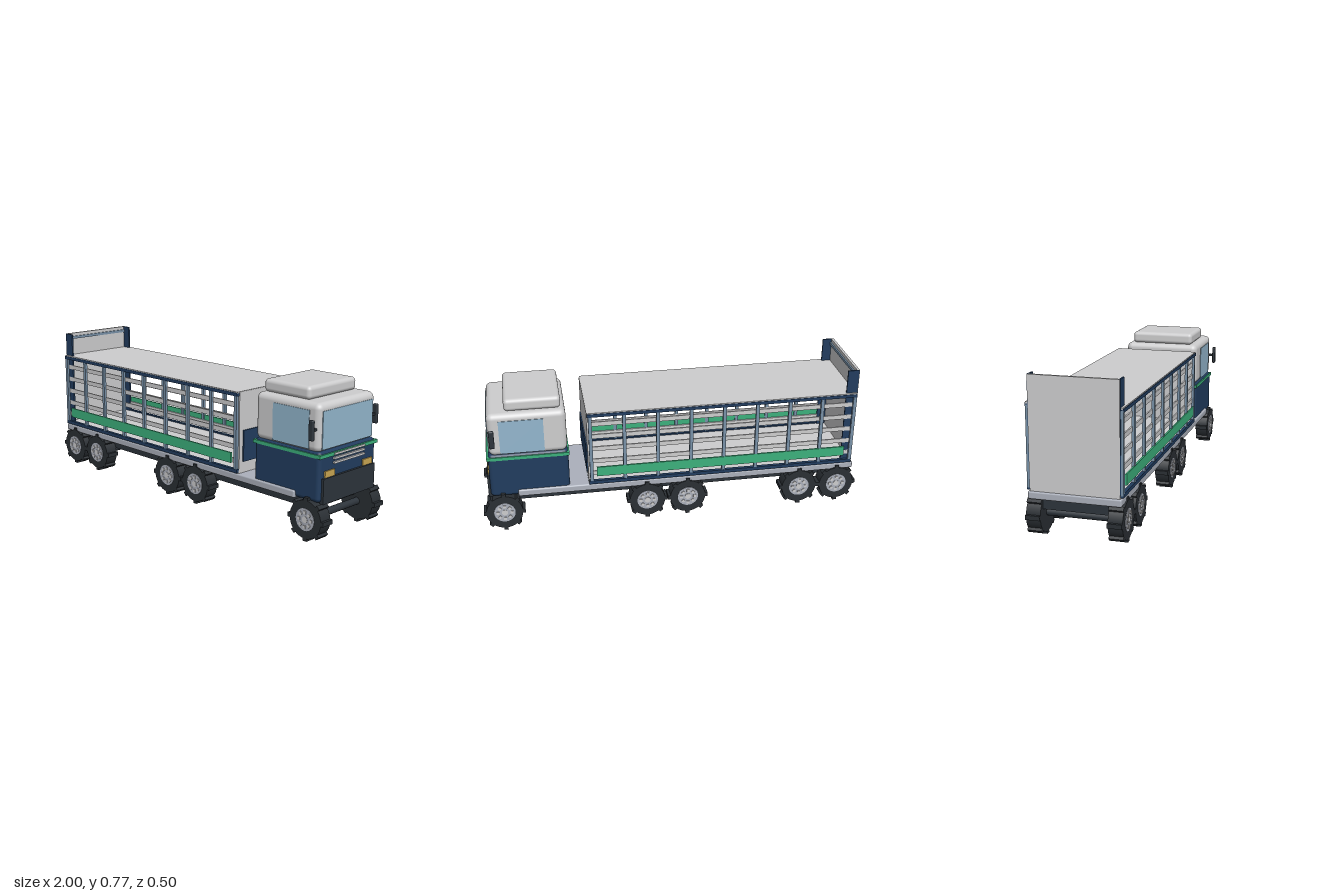
import * as THREE from 'three';
import { RoundedBoxGeometry } from 'three/addons/geometries/RoundedBoxGeometry.js';

const material = (name, color) => {
  const m = new THREE.MeshStandardMaterial({ color });
  m.name = name;
  return m;
};

export function createModel() {
  const white = material('pale grey', 0xcdcdce);
  const steel = material('bluish grey deck', 0xabb0bb);
  const navy = material('navy paint', 0x213c5e);
  const blue = material('steel blue', 0x7891a8);
  const green = material('green paint', 0x3cb07c);
  const glass = material('window glass', 0x93b6cd);
  const gold = material('headlight gold', 0xcaa752);
  const dark = material('dark trim', 0x2d343b);
  const rubber = material('tyre rubber', 0x2a2f34);

  const truck = new THREE.Group();
  truck.name = 'cargoTruck';
  const section = (name, parent = truck) => {
    const g = new THREE.Group();
    g.name = name;
    parent.add(g);
    return g;
  };
  const add = (parent, name, geometry, mat, x = 0, y = 0, z = 0) => {
    const mesh = new THREE.Mesh(geometry, mat);
    mesh.name = name;
    mesh.position.set(x, y, z);
    parent.add(mesh);
    return mesh;
  };
  // Box given by its limits on each axis; r rounds the edges
  const box = (parent, name, mat, [x0, x1], [y0, y1], [z0, z1], r = 0) => {
    const size = [x1 - x0, y1 - y0, z1 - z0];
    const geo = r ? new RoundedBoxGeometry(...size, 4, r) : new THREE.BoxGeometry(...size);
    return add(parent, name, geo, mat, (x0 + x1) / 2, (y0 + y1) / 2, (z0 + z1) / 2);
  };
  // The same box on both flanks of the truck
  const pair = (parent, name, mat, xs, ys, [z0, z1], r = 0) => {
    box(parent, name, mat, xs, ys, [z0, z1], r);
    box(parent, name, mat, xs, ys, [-z1, -z0], r);
  };

  // Chassis and flat deck
  const chassis = section('chassis');
  box(chassis, 'chassisFrame', dark, [-0.95, 0.88], [0.138, 0.19], [-0.16, 0.16]);
  box(chassis, 'deck', steel, [-0.98, 0.815], [0.19, 0.227], [-0.223, 0.223], 0.008);

  // Wheels with tread lugs, hubs and bolts
  const R = 0.094, AXLE_Y = 0.107, W = 0.07;
  const tyreGeo = new THREE.CylinderGeometry(R, R, W, 32).rotateX(Math.PI / 2);
  const lugGeo = new THREE.BoxGeometry(0.022, 0.028, W);
  const hubGeo = new THREE.CylinderGeometry(0.055, 0.055, 0.004, 32).rotateX(Math.PI / 2);
  const capGeo = new THREE.CylinderGeometry(0.016, 0.016, 0.006, 16).rotateX(Math.PI / 2);
  const boltGeo = new THREE.BoxGeometry(0.015, 0.015, 0.008);
  const axleGeo = new THREE.CylinderGeometry(0.018, 0.018, 0.34, 16).rotateX(Math.PI / 2);
  const running = section('runningGear');
  for (const x of [-0.893, -0.684, -0.072, 0.145, 0.893]) {
    add(running, 'axle', axleGeo, dark, x, AXLE_Y);
    for (const side of [-1, 1]) {
      const wheel = section('wheel', running);
      wheel.position.set(x, AXLE_Y, side * 0.195);
      if (side < 0) wheel.rotation.y = Math.PI;
      add(wheel, 'tyre', tyreGeo, rubber);
      add(wheel, 'hub', hubGeo, steel, 0, 0, W / 2);
      add(wheel, 'hubCap', capGeo, white, 0, 0, W / 2 + 0.001);
      for (let i = 0; i < 8; i++) {
        const a = (i * Math.PI) / 4;
        const lug = add(wheel, 'treadLug', lugGeo, rubber, -Math.sin(a) * 0.093, Math.cos(a) * 0.093);
        lug.rotation.z = a;
        const bolt = add(wheel, 'wheelBolt', boltGeo, white, Math.cos(a) * 0.036, Math.sin(a) * 0.036, W / 2 + 0.002);
        bolt.rotation.z = a;
      }
    }
  }

  // Slatted cargo body
  const cargo = section('cargoBody');
  const L = [-0.965, 0.448];
  box(cargo, 'cargoFloor', white, L, [0.227, 0.243], [-0.215, 0.215]);
  box(cargo, 'cargoRoof', white, L, [0.632, 0.642], [-0.228, 0.228]);
  pair(cargo, 'bottomRail', navy, L, [0.231, 0.25], [0.212, 0.23]);
  pair(cargo, 'topRail', navy, L, [0.62, 0.637], [0.214, 0.231]);
  for (let i = 0; i < 5; i++) {
    const y = 0.29 + i * 0.071;
    pair(cargo, 'sideSlat', white, [-0.955, 0.44], [y - 0.012, y + 0.012], [0.21, 0.218]);
  }
  for (let i = 0; i < 9; i++) {
    const x = -0.957 + i * 0.1738;
    pair(cargo, 'sidePost', blue, [x - 0.009, x + 0.009], [0.24, 0.628], [0.214, 0.229]);
  }
  pair(cargo, 'greenSideBoard', green, [-0.92, 0.407], [0.277, 0.33], [0.222, 0.231]);
  box(cargo, 'frontWall', white, [0.438, 0.45], [0.235, 0.64], [-0.214, 0.214]);
  box(cargo, 'frontWallPanel', navy, [0.45, 0.457], [0.285, 0.445], [-0.19, 0.19]);

  // Tall rear wall with its corner posts
  box(cargo, 'rearWall', white, [-0.972, -0.958], [0.227, 0.768], [-0.214, 0.214]);
  box(cargo, 'rearWallRib', blue, [-0.958, -0.95], [0.735, 0.75], [-0.208, 0.208]);
  pair(cargo, 'rearPost', navy, [-0.968, -0.91], [0.24, 0.768], [0.208, 0.217]);

  // Cab shell
  const cab = section('cab');
  box(cab, 'lowerCab', navy, [0.547, 0.955], [0.192, 0.436], [-0.212, 0.212], 0.022);
  box(cab, 'upperCab', white, [0.55, 0.945], [0.428, 0.66], [-0.21, 0.21], 0.03);
  box(cab, 'greenBelt', green, [0.542, 0.961], [0.407, 0.424], [-0.216, 0.216]);
  box(cab, 'roofFairing', white, [0.572, 0.855], [0.658, 0.722], [-0.176, 0.176], 0.02);

  // Windows
  box(cab, 'windshield', glass, [0.941, 0.948], [0.443, 0.625], [-0.186, 0.186]);
  pair(cab, 'sideWindow', glass, [0.665, 0.888], [0.443, 0.625], [0.206, 0.213]);

  // Nose details
  for (const y of [0.373, 0.394, 0.415]) {
    box(cab, 'grilleBar', white, [0.953, 0.965], [y - 0.005, y + 0.005], [-0.115, 0.115]);
  }
  pair(cab, 'headlight', gold, [0.953, 0.962], [0.312, 0.343], [0.107, 0.177]);
  box(cab, 'bumper', dark, [0.945, 0.967], [0.188, 0.311], [-0.193, 0.193]);

  // Mirrors
  pair(cab, 'mirror', dark, [0.912, 0.939], [0.493, 0.59], [0.231, 0.248], 0.006);
  pair(cab, 'mirrorArm', dark, [0.92, 0.93], [0.535, 0.547], [0.2, 0.235]);

  return truck;
}
